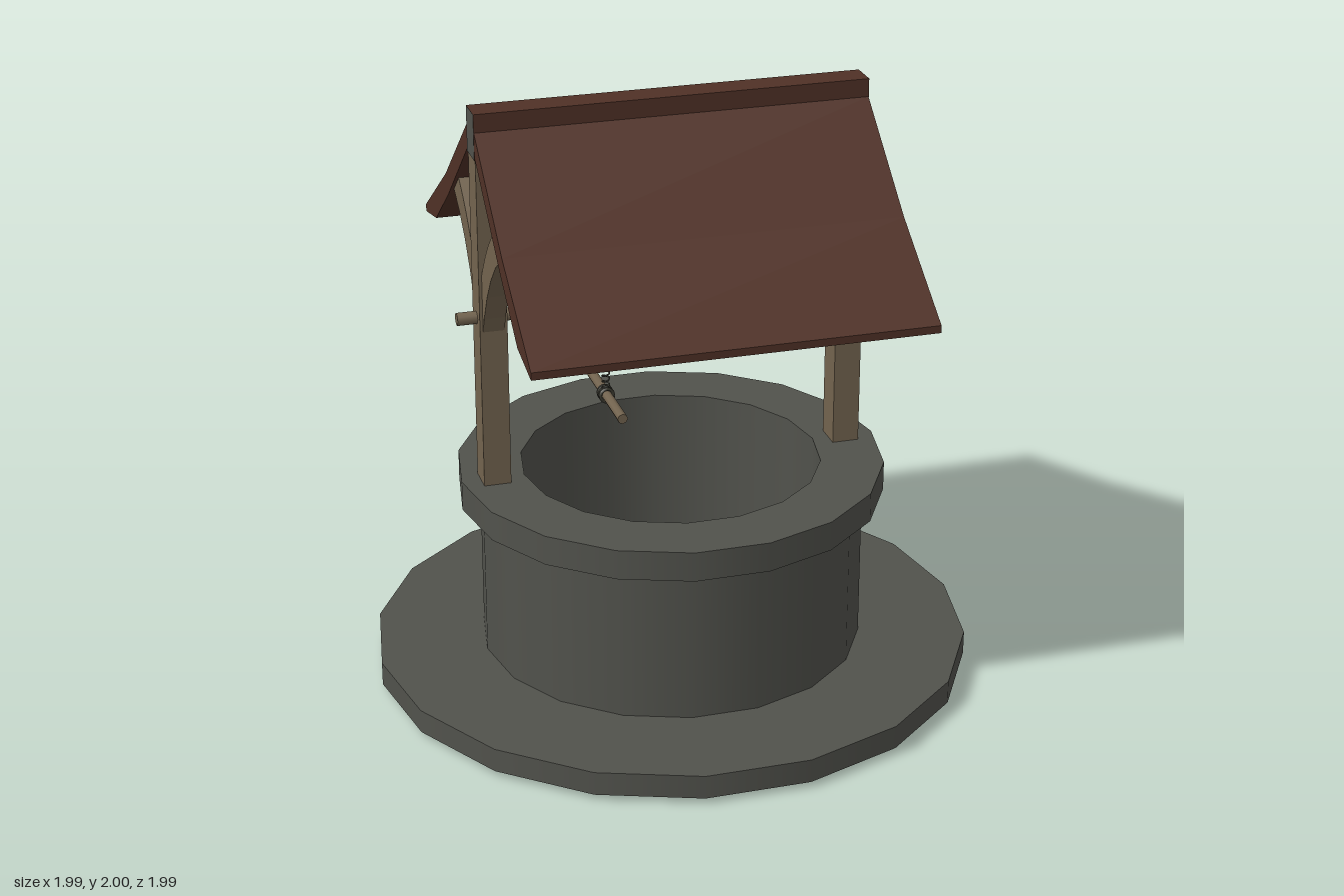
import * as THREE from 'three';

const mat = (name, color, double = false) => {
  const m = new THREE.MeshStandardMaterial({ color });
  m.name = name;
  if (double) m.side = THREE.DoubleSide;
  return m;
};

export function createModel() {
  const stone = mat('stone', 0x51524c, true);
  const roofBrown = mat('roofBrown', 0x503126);
  const wood = mat('wood', 0x73644f);
  const ropeDark = mat('rope', 0x3b3a30);
  const waterTeal = mat('water', 0x1f5652, true);

  const model = new THREE.Group();
  model.name = 'well';
  const add = (name, geometry, material, x = 0, y = 0, z = 0, parent = model) => {
    const mesh = new THREE.Mesh(geometry, material);
    mesh.name = name;
    mesh.position.set(x, y, z);
    parent.add(mesh);
    return mesh;
  };
  // extrude a (z, y) outline along x, centred
  const extrudeX = (shape, length) => {
    const g = new THREE.ExtrudeGeometry(shape, { depth: length, bevelEnabled: false, curveSegments: 5 });
    g.translate(0, 0, -length / 2);
    return g.rotateY(-Math.PI / 2);
  };

  // stonework: each band is smooth around and sharp at its rims
  const stonework = (name, profile) => {
    const group = new THREE.Group();
    group.name = name;
    model.add(group);
    for (let i = 0; i < profile.length - 1; i++) {
      const pts = [profile[i], profile[i + 1]].map(p => new THREE.Vector2(...p));
      add(name + 'Band', new THREE.LatheGeometry(pts, 18, Math.PI / 2), stone, 0, 0, 0, group);
    }
  };
  stonework('base', [[1, 0.02], [1, 0.1], [0.64, 0.1]]);
  stonework('wall', [[0.64, 0.1], [0.64, 0.63]]);
  stonework('rim', [[0.64, 0.63], [0.71, 0.63], [0.71, 0.73], [0.5, 0.73]]);
  stonework('shaft', [[0.5, 0.73], [0.5, 0], [0, 0]]);
  add('water', new THREE.CircleGeometry(0.5, 18).rotateX(-Math.PI / 2), waterTeal, 0, 0.22);

  // posts with curved braces
  const brace = new THREE.Shape();
  brace.moveTo(0.03, 1.22);
  brace.quadraticCurveTo(0.12, 1.5, 0.335, 1.625);
  brace.lineTo(0.27, 1.7);
  brace.quadraticCurveTo(0.12, 1.6, 0.03, 1.43);
  for (const side of [-1, 1]) {
    add('post', new THREE.BoxGeometry(0.09, 1.13, 0.1), wood, side * 0.6, 1.285, 0);
    for (const turn of [0, Math.PI]) {
      add('brace', extrudeX(brace, 0.07), wood, side * 0.6).rotation.y = turn;
    }
  }

  // ridge beam with grey ends and two bent roof slopes
  add('ridgeBeam', new THREE.BoxGeometry(1.296, 0.15, 0.1),
    [stone, stone, roofBrown, roofBrown, roofBrown, roofBrown], 0, 1.925, 0);
  const slope = new THREE.Shape([
    [0.05, 1.94], [0.05, 1.86], [0.36, 1.6], [0.58, 1.435],
    [0.748, 1.4], [0.748, 1.425], [0.4, 1.655],
  ].map(p => new THREE.Vector2(...p)));
  for (const turn of [0, Math.PI]) {
    add('roofSlope', extrudeX(slope, 1.294), roofBrown).rotation.y = turn;
  }

  // axle and hand wheel
  add('axle', new THREE.CylinderGeometry(0.021, 0.021, 1.45, 10).rotateZ(Math.PI / 2), wood, 0.015, 1.305, 0);
  const wheel = new THREE.Group();
  wheel.name = 'handWheel';
  wheel.position.set(0.7, 1.305, 0);
  model.add(wheel);
  add('wheelRing', new THREE.TorusGeometry(0.167, 0.023, 8, 16).rotateY(Math.PI / 2), wood, 0, 0, 0, wheel);
  add('wheelHub', new THREE.CylinderGeometry(0.03, 0.03, 0.05, 10).rotateZ(Math.PI / 2), wood, 0, 0, 0, wheel);
  for (let i = 0; i < 3; i++) {
    const spoke = new THREE.CylinderGeometry(0.014, 0.014, 0.16, 8).translate(0, 0.08, 0);
    add('wheelSpoke', spoke, wood, 0, 0, 0, wheel).rotation.x = -1.3 + i * Math.PI * 2 / 3;
  }

  // rope: coil on the axle, hanging ends and a knot on the handle bar
  const tube = (name, fn, steps, radius = 0.003) => {
    const pts = Array.from({ length: steps + 1 }, (_, i) => new THREE.Vector3(...fn(i / steps)));
    return add(name, new THREE.TubeGeometry(new THREE.CatmullRomCurve3(pts), steps * 2, radius, 5), ropeDark);
  };
  const TAU = Math.PI * 2;
  tube('ropeCoil', t => {
    const a = t * 18 * TAU;
    const r = 0.029 + 0.005 * Math.sin(t * 47);
    return [-0.22 + 0.33 * t + 0.006 * Math.sin(a * 0.37), 1.305 + r * Math.sin(a), r * Math.cos(a)];
  }, 180, 0.0035);
  tube('hangingRope', t => [-0.22, 1.3 - 0.2 * t, 0.025 * (1 - t)], 4, 0.002);
  tube('ropeTail', t => [0.11 + 0.004 * t, 1.305 - 0.13 * t, 0.028], 4, 0.002);
  tube('ropeTwist', t => [
    -0.22 + 0.012 * Math.cos(t * 5 * TAU), 1.1 - 0.1 * t, 0.012 * Math.sin(t * 5 * TAU),
  ], 40);
  tube('ropeKnot', t => [
    -0.22 + 0.022 * Math.cos(t * 5 * TAU), 0.985 + 0.022 * Math.sin(t * 5 * TAU), -0.02 + 0.04 * t,
  ], 40, 0.006);
  add('handleBar', new THREE.CylinderGeometry(0.017, 0.017, 0.395, 8).rotateX(Math.PI / 2), wood, -0.22, 0.985, 0.012);

  // the whole well stands slightly turned
  model.rotation.y = -0.085;
  const root = new THREE.Group();
  root.name = 'wishingWell';
  root.add(model);
  return root;
}
